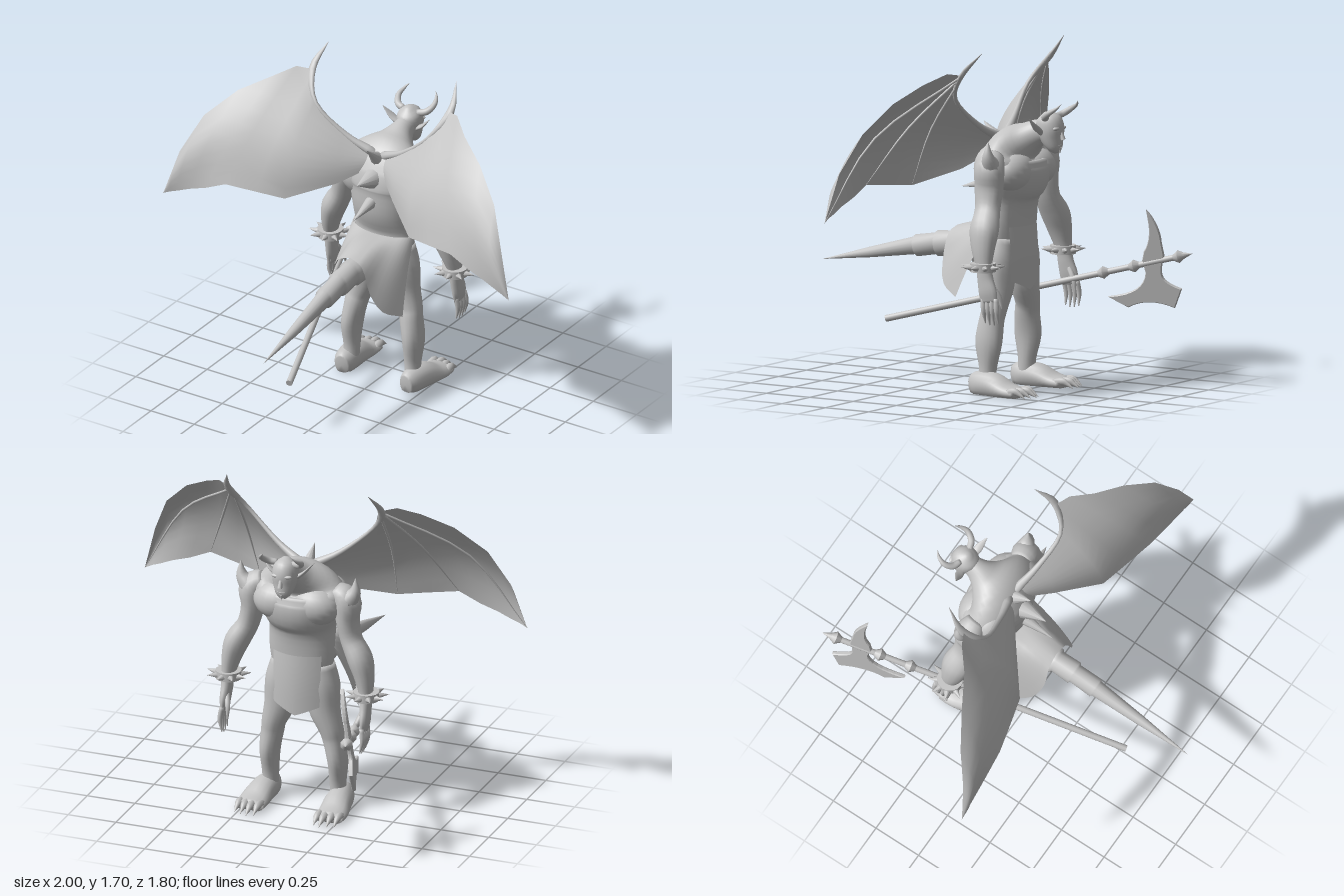
import * as THREE from 'three';

const skin = new THREE.MeshStandardMaterial({ color: 0xc4c4c4, side: THREE.DoubleSide });
skin.name = 'grey clay';
const V = (a) => new THREE.Vector3(a[0], a[1], a[2]);

export function createModel() {
  const model = new THREE.Group();
  const add = (name, geo) => {
    const m = new THREE.Mesh(geo, skin);
    m.name = name;
    model.add(m);
    return m;
  };
  const indexed = (pos, idx) => {
    const g = new THREE.BufferGeometry();
    g.setAttribute('position', new THREE.Float32BufferAttribute(pos, 3));
    g.setIndex(idx);
    g.computeVertexNormals();
    return g;
  };

  // Elliptical sweep: pts = [x, y, z, sideRadius, depthRadius], s mirrors x
  function limb(name, pts, { s = 1, n = 16, sub = 4, ref = [1, 0, 0], floor = -9 } = {}) {
    const path = new THREE.CatmullRomCurve3(pts.map((p) => new THREE.Vector3(p[0] * s, p[1], p[2])));
    const radii = new THREE.CatmullRomCurve3(pts.map((p) => new THREE.Vector3(p[3], p[4] ?? p[3], 0)));
    path.curveType = radii.curveType = 'catmullrom';
    const pos = [], idx = [], steps = (pts.length - 1) * sub;
    const put = (v) => pos.push(v.x, Math.max(v.y, floor), v.z);
    for (let i = 0; i <= steps; i++) {
      const c = path.getPoint(i / steps), r = radii.getPoint(i / steps), t = path.getTangent(i / steps);
      const side = V(ref).addScaledVector(t, -t.dot(V(ref))).normalize();
      const other = t.clone().cross(side);
      for (let j = 0; j < n; j++) {
        const a = (j / n) * Math.PI * 2;
        put(c.clone().addScaledVector(side, Math.cos(a) * r.x).addScaledVector(other, Math.sin(a) * r.y));
        const k = (j + 1) % n, q = i * n;
        if (i < steps) idx.push(q + j, q + k, q + n + j, q + k, q + n + k, q + n + j);
      }
    }
    put(path.getPoint(0));
    put(path.getPoint(1));
    const e = (steps + 1) * n;
    for (let j = 0; j < n; j++) {
      const k = (j + 1) % n;
      idx.push(e, k, j, e + 1, steps * n + j, steps * n + k);
    }
    return add(name, indexed(pos, idx));
  }

  // Thin cloth or membrane between two edges, with a bulge in the middle
  function sheet(name, top, bottom, rows, bulge, s = 1) {
    const pos = [], idx = [], w = rows + 1;
    top.forEach((p, i) => {
      for (let j = 0; j <= rows; j++) {
        const v = V(p).lerp(V(bottom[i]), j / rows);
        const f = Math.sin((j / rows) * Math.PI) * Math.min(1, V(p).distanceTo(V(bottom[i])) * 2);
        v.addScaledVector(V(bulge), f);
        pos.push(v.x * s, v.y, v.z);
        if (i < top.length - 1 && j < rows) {
          const a = i * w + j;
          const q = [a, a + 1, a + w, a + 1, a + w + 1, a + w];
          idx.push(...(s > 0 ? q : q.reverse()));
        }
      }
    });
    return add(name, indexed(pos, idx));
  }

  // Straight tapered rod or spike from a to b
  function rod(name, a, b, r0, r1 = 0, n = 10) {
    const d = V(b).sub(V(a));
    const m = add(name, new THREE.CylinderGeometry(r1, r0, d.length(), n));
    m.position.copy(V(a)).addScaledVector(d, 0.5);
    m.quaternion.setFromUnitVectors(new THREE.Vector3(0, 1, 0), d.normalize());
    return m;
  }
  function ball(name, c, r) {
    const m = add(name, new THREE.SphereGeometry(1, 20, 14));
    m.position.set(...c);
    m.scale.set(...r);
  }

  // Torso, neck and head
  limb('torso', [[0, 0.63, -0.17, 0.1, 0.06], [0, 0.72, -0.175, 0.15, 0.095], [0, 0.82, -0.19, 0.165, 0.09],
    [0, 0.95, -0.18, 0.17, 0.128], [0, 1.05, -0.2, 0.203, 0.158], [0, 1.13, -0.205, 0.24, 0.148],
    [0, 1.2, -0.225, 0.195, 0.115], [0, 1.245, -0.285, 0.1, 0.08], [0, 1.275, -0.34, 0.057, 0.065],
    [0, 1.29, -0.39, 0.05, 0.055]], { n: 28 });
  limb('head', [[0, 1.183, -0.447, 0.015, 0.012], [0, 1.205, -0.438, 0.038, 0.035], [0, 1.25, -0.42, 0.056, 0.056],
    [0, 1.3, -0.408, 0.064, 0.07], [0, 1.35, -0.398, 0.055, 0.06], [0, 1.382, -0.39, 0.015, 0.015]], { n: 20 });
  rod('nose', [0, 1.295, -0.466], [0, 1.25, -0.482], 0.008, 0.012);
  rod('chinSpike', [0, 1.21, -0.463], [0, 1.178, -0.462], 0.01);
  ball('mouth', [0, 1.222, -0.458], [0.026, 0.008, 0.014]);

  // Spikes along the spine
  rod('lowerBackSpike', [0, 1.01, -0.07], [0, 0.975, 0.11], 0.034);
  rod('middleBackSpike', [0, 1.13, -0.08], [0, 1.155, 0.07], 0.056);
  rod('upperBackSpike', [0, 1.2, -0.14], [0, 1.31, -0.02], 0.045);

  for (const s of [1, -1]) {
    const o = { s };
    // Face and chest
    limb('horn', [[0.04, 1.355, -0.41, 0.016], [0.08, 1.363, -0.425, 0.017], [0.102, 1.388, -0.46, 0.014],
      [0.093, 1.412, -0.498, 0.008], [0.075, 1.435, -0.518, 0.001]], { s, n: 10, ref: [0, 1, 0] });
    limb('ear', [[0.05, 1.28, -0.39, 0.012, 0.016], [0.09, 1.31, -0.385, 0.008, 0.02], [0.135, 1.36, -0.37, 0.001, 0.002]], o);
    ball('brow', [s * 0.027, 1.305, -0.46], [0.026, 0.01, 0.014]);
    ball('chestMuscle', [s * 0.095, 1.085, -0.25], [0.13, 0.1, 0.1]);
    ball('shoulderBlade', [s * 0.12, 1.1, -0.16], [0.12, 0.12, 0.09]);

    // Arm, hand and fingers
    limb('arm', [[0.18, 1.16, -0.21, 0.05, 0.05], [0.245, 1.12, -0.215, 0.068, 0.075], [0.248, 1.02, -0.212, 0.056, 0.075],
      [0.27, 0.92, -0.218, 0.053, 0.066], [0.32, 0.83, -0.232, 0.061, 0.076], [0.347, 0.74, -0.242, 0.048, 0.062],
      [0.36, 0.65, -0.255, 0.032, 0.042], [0.362, 0.59, -0.265, 0.028, 0.043], [0.365, 0.53, -0.28, 0.024, 0.05],
      [0.365, 0.48, -0.288, 0.014, 0.045]], o);
    for (let i = 0; i < 4; i++) {
      const z = -0.252 - i * 0.025, low = 0.365 + Math.abs(i - 1.5) * 0.008;
      limb('finger', [[0.365, 0.5, z, 0.013], [0.372, 0.44, z - 0.008, 0.012], [0.36, low, z - 0.012, 0.003]], { s, n: 8 });
    }
    limb('thumb', [[0.355, 0.57, -0.285, 0.014], [0.335, 0.51, -0.325, 0.013], [0.33, 0.45, -0.34, 0.004]], { s, n: 8 });
    limb('shoulderSpike', [[0.26, 1.13, -0.235, 0.05], [0.295, 1.18, -0.237, 0.03], [0.3, 1.255, -0.24, 0.001]], o);

    // Spiked bracelet
    const bx = s * 0.36, by = 0.65, bz = -0.25;
    add('bracelet', new THREE.CylinderGeometry(0.064, 0.064, 0.042, 16)).position.set(bx, by, bz);
    for (let i = 0; i < 9; i++) {
      const a = (i / 9) * Math.PI * 2, c = Math.cos(a), d = Math.sin(a);
      rod('braceletSpike', [bx + c * 0.06, by, bz + d * 0.06], [bx + c * 0.113, by + 0.006, bz + d * 0.113], 0.016, 0, 6);
    }

    // Leg, foot and clawed toes
    limb('leg', [[0.178, 0.05, -0.155, 0.04, 0.046], [0.176, 0.13, -0.16, 0.041, 0.046], [0.177, 0.25, -0.165, 0.049, 0.071],
      [0.16, 0.36, -0.172, 0.056, 0.064], [0.147, 0.42, -0.182, 0.062, 0.062], [0.115, 0.52, -0.185, 0.08, 0.071],
      [0.1, 0.64, -0.18, 0.09, 0.086], [0.085, 0.75, -0.177, 0.075, 0.08]], o);
    limb('foot', [[0.185, 0.04, -0.078, 0.034, 0.05], [0.19, 0.045, -0.12, 0.055, 0.066], [0.198, 0.045, -0.21, 0.068, 0.064],
      [0.207, 0.025, -0.3, 0.075, 0.042], [0.207, 0.02, -0.37, 0.073, 0.028]], { s, floor: 0 });
    for (let i = 0; i < 4; i++) {
      const x = 0.157 + i * 0.034, tip = -0.45 + Math.abs(i - 1) * 0.012;
      limb('toe', [[x, 0.026, -0.33, 0.02], [x, 0.034, tip + 0.06, 0.019], [x, 0.022, tip + 0.03, 0.011], [x, 0.004, tip, 0.001]],
        { s, n: 8, floor: 0 });
    }

    // Wing: bony arm, claw, membrane and finger ribs on its inner face
    const upper = [[0.03, 1.24, -0.13], [0.17, 1.325, -0.085], [0.33, 1.46, -0.06], [0.385, 1.585, -0.15], [0.465, 1.6, -0.11],
      [0.56, 1.55, -0.03], [0.7, 1.47, 0.05], [0.84, 1.33, 0.138], [0.93, 1.14, 0.215], [1, 0.905, 0.255]];
    const lower = [[0.03, 1.17, -0.1], [0.16, 1.09, 0], [0.36, 1.02, 0.16], [0.5, 1.035, 0.2], [0.65, 1.05, 0.24],
      [0.76, 1.0, 0.245], [0.85, 0.97, 0.25], [0.92, 0.94, 0.252], [0.96, 0.925, 0.255], [1, 0.905, 0.255]];
    sheet('wingMembrane', upper, lower, 8, [0, 0, 0.06], s);
    limb('wingArm', [[0.03, 1.24, -0.13, 0.024], [0.17, 1.318, -0.092, 0.014], [0.325, 1.455, -0.068, 0.01],
      [0.4, 1.585, -0.15, 0.012, 0.02], [0.37, 1.7, -0.25, 0.001]], { s, n: 10, ref: [0, 0, 1] });
    for (const [mid, end] of [[[0.38, 1.31, 0.035], lower[2]], [[0.52, 1.33, 0.075], lower[4]], [[0.75, 1.3, 0.125], upper[9]]]) {
      limb('wingRib', [[...upper[3], 0.006], [...mid, 0.006], [...end, 0.001]], { s, n: 8, ref: [0, 0, 1] });
    }
  }

  // Ringed tail
  limb('tail', [[0, 0.69, -0.1, 0.06, 0.065], [0, 0.695, 0.13, 0.066, 0.068], [0, 0.695, 0.135, 0.055, 0.06],
    [0, 0.685, 0.235, 0.058, 0.064], [0, 0.685, 0.24, 0.048, 0.053], [0, 0.665, 0.36, 0.05, 0.054],
    [0, 0.665, 0.365, 0.041, 0.044], [0, 0.61, 0.63, 0.025, 0.026], [0, 0.555, 0.9, 0.001]], { sub: 1 });

  // Loincloth draped over the tail, with a front flap
  const waist = [], hem = [], flapTop = [], flapHem = [];
  const hemCurve = new THREE.CatmullRomCurve3(
    [[0, 0.785, 0.128], [0.07, 0.755, 0.134], [0.12, 0.62, 0.137], [0.17, 0.52, 0.1], [0.22, 0.465, 0]].map(V));
  for (let i = -12; i <= 12; i++) {
    const u = i / 12, a = Math.abs(u), h = hemCurve.getPoint(a);
    waist.push([0.17 * Math.sin(u * 1.57), 0.82, -0.18 + 0.09 * Math.cos(u * 1.57)]);
    hem.push([h.x * Math.sign(u), h.y, h.z]);
    flapTop.push([0.125 * u, 0.815, -0.288 + 0.04 * u * u]);
    flapHem.push([0.12 * u, 0.5 + 0.05 * a, -0.29 + 0.03 * u * u]);
  }
  sheet('backLoincloth', waist, hem, 6, [0, 0.02, 0.01]);
  sheet('frontLoincloth', flapTop, flapHem, 6, [0, 0, -0.008]);

  // Poleaxe: shaft, collars, spear point and blade
  const butt = V([-0.06, 0.28, 0.58]), end = V([-0.51, 0.66, -0.9]);
  const on = (t) => butt.clone().lerp(end, t).toArray();
  rod('shaft', on(0), on(0.95), 0.017, 0.015);
  for (const t of [0.71, 0.81, 0.955]) {
    rod('collar', on(t - 0.018), on(t), 0.015, 0.032, 8);
    rod('collar', on(t), on(t + 0.018), 0.032, 0.015, 8);
  }
  rod('spearPoint', on(0.955), on(1), 0.026);
  const blade = new THREE.Shape();
  blade.moveTo(-0.035, 0.02);
  blade.lineTo(-0.015, 0.06);
  blade.quadraticCurveTo(0.05, 0.12, 0.05, 0.255);
  blade.quadraticCurveTo(0.09, 0.16, 0.075, 0.09);
  blade.lineTo(0.07, 0.02);
  blade.quadraticCurveTo(0.02, -0.06, 0.04, -0.098);
  blade.quadraticCurveTo(0.06, -0.13, 0.11, -0.161);
  blade.lineTo(0.055, -0.24);
  blade.quadraticCurveTo(-0.06, -0.16, -0.17, -0.19);
  blade.lineTo(-0.25, -0.124);
  blade.quadraticCurveTo(-0.07, -0.15, -0.035, -0.043);
  const axe = add('axeBlade', new THREE.ExtrudeGeometry(blade, {
    depth: 0.012, bevelEnabled: true, bevelSize: 0.004, bevelThickness: 0.005, bevelSegments: 1, curveSegments: 8 })
    .translate(0, 0, -0.006));
  const along = end.clone().sub(butt).normalize();
  const up = V([0.2, 0.97, 0.19]);
  up.addScaledVector(along, -up.dot(along)).normalize();
  axe.quaternion.setFromRotationMatrix(new THREE.Matrix4().makeBasis(along, up, along.clone().cross(up)));
  axe.position.set(...on(0.865));

  return model;
}
